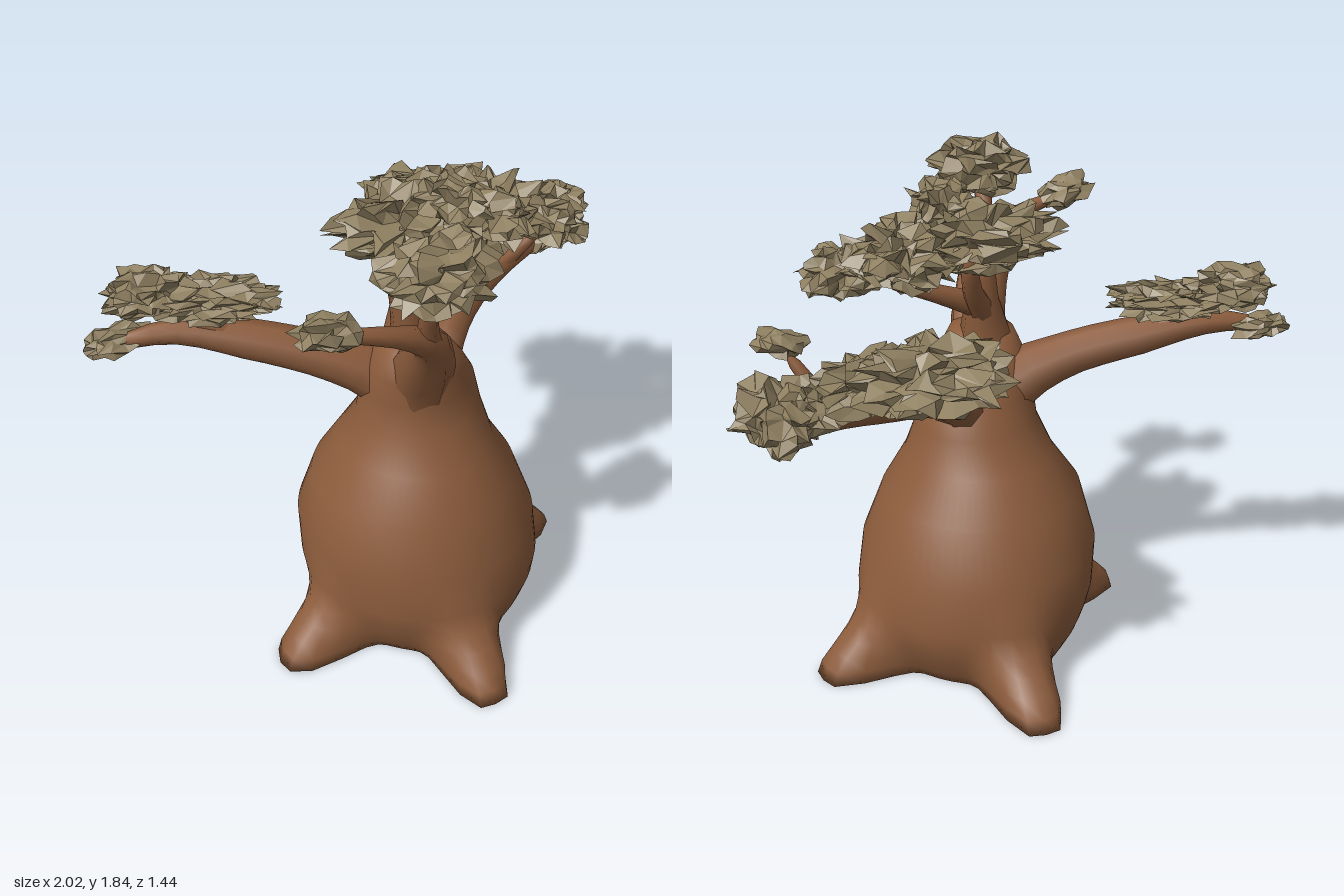
import * as THREE from 'three';
import { mergeVertices } from 'three/addons/utils/BufferGeometryUtils.js';

const bark = new THREE.MeshStandardMaterial({ color: 0x8c5c3c });
bark.name = 'brown bark';
const leaf = new THREE.MeshStandardMaterial({ color: 0x8f8061, flatShading: true, side: THREE.DoubleSide });
leaf.name = 'dry olive leaves';

// Small seeded random generator
function seeded(seed) {
  let s = seed * 7919 + 17;
  return () => {
    s = (s * 16807) % 2147483647;
    return s / 2147483647;
  };
}

function weld(geometry) {
  geometry.deleteAttribute('normal');
  geometry.deleteAttribute('uv');
  const g = mergeVertices(geometry, 1e-4);
  g.computeVertexNormals();
  return g;
}

// Swollen trunk whose foot flares into four buttress roots.
// Rings: [y, centre x, centre z, radius x, radius z, root strength]
function makeTrunk() {
  const rings = [
    [0, 0, 0.05, 0, 0, 0], [0, 0, 0.05, 0.35, 0.37, 1], [0.05, 0, 0.05, 0.38, 0.395, 0.93],
    [0.1, 0, 0.05, 0.405, 0.42, 0.75], [0.15, 0, 0.05, 0.425, 0.435, 0.5], [0.2, 0, 0.05, 0.44, 0.45, 0.26],
    [0.27, -0.005, 0.05, 0.452, 0.46, 0.04], [0.45, -0.02, 0.047, 0.44, 0.455, 0],
    [0.65, -0.035, 0.055, 0.376, 0.375, 0], [0.8, -0.03, 0.06, 0.275, 0.29, 0],
    [0.93, -0.02, 0.065, 0.23, 0.21, 0], [1.05, -0.025, 0.065, 0.205, 0.19, 0],
    [1.15, -0.06, 0.1, 0.17, 0.165, 0], [1.25, -0.08, 0.12, 0.11, 0.13, 0], [1.31, -0.09, 0.13, 0, 0, 0],
  ];
  // Root tips on the ground: [x, z]
  const roots = [[-0.67, 0.07], [0.66, 0.06], [-0.18, 0.7], [0.115, -0.64]];
  const g = new THREE.LatheGeometry(rings.map((r) => new THREE.Vector2(1, r[0])), 72);
  const p = g.attributes.position;
  for (let i = 0; i < p.count; i++) {
    const [y, cx, cz, rx, rz, strength] = rings[i % rings.length];
    const sx = p.getX(i), sz = p.getZ(i);
    let x = sx * rx, z = sz * rz;
    const body = Math.hypot(x, z);
    for (const [tx, tz] of roots) {
      const reach = Math.hypot(tx, tz - 0.05);
      const angle = Math.acos(THREE.MathUtils.clamp((sx * tx + sz * (tz - 0.05)) / reach, -1, 1));
      const lobe = Math.exp(-Math.pow(Math.max(0, angle - 0.06) / 0.19, 2));
      const grow = strength * lobe * (reach - body);
      x += sx * grow;
      z += sz * grow;
    }
    p.setXYZ(i, cx + x, y, cz + z);
  }
  return weld(g);
}

// Tapered limb through [x, y, z, radius] points, closed at its tip
function makeLimb(points, sides = 8) {
  const curve = new THREE.CatmullRomCurve3(points.map((p) => new THREE.Vector3(p[0], p[1], p[2])));
  const segments = (points.length - 1) * 3;
  const g = new THREE.TubeGeometry(curve, segments, 1, sides, false);
  const pos = g.attributes.position, nor = g.attributes.normal;
  for (let i = 0; i < pos.count; i++) {
    const ring = Math.floor(i / (sides + 1));
    const u = ring / segments;
    const t = curve.getUtoTmapping(u) * (points.length - 1);
    const k = Math.min(Math.floor(t), points.length - 2);
    const r = ring === segments ? 0 : THREE.MathUtils.lerp(points[k][3], points[k + 1][3], t - k);
    const c = curve.getPointAt(u);
    pos.setXYZ(i, c.x + nor.getX(i) * r, c.y + nor.getY(i) * r, c.z + nor.getZ(i) * r);
  }
  return weld(g);
}

// Crumpled leaf clump with deep, jagged folds
function makeClump([x, y, z, rx, ry, rz, yaw = 0, tilt = 0], seed) {
  const size = Math.max(rx, rz);
  const g = weld(new THREE.IcosahedronGeometry(1, size > 0.19 ? 5 : size > 0.12 ? 4 : 2));
  const rand = seeded(seed);
  const p = g.attributes.position;
  const v = new THREE.Vector3();
  for (let i = 0; i < p.count; i++) {
    v.fromBufferAttribute(p, i);
    const lump = 0.07 * Math.sin(v.x * 5 + seed) + 0.07 * Math.cos(v.z * 6 + seed * 2);
    v.multiplyScalar(0.58 + 0.48 * rand() + lump);
    v.x += (rand() - 0.5) * 0.26;
    v.y += (rand() - 0.5) * 0.34;
    v.z += (rand() - 0.5) * 0.26;
    p.setXYZ(i, v.x * rx, v.y * ry, v.z * rz);
  }
  g.rotateZ(tilt).rotateY(yaw).translate(x, y, z);
  g.computeVertexNormals();
  return g;
}

export function createModel() {
  const model = new THREE.Group();
  model.name = 'bottleTree';
  const add = (name, geometry, material) => {
    const mesh = new THREE.Mesh(geometry, material);
    mesh.name = name;
    model.add(mesh);
  };

  add('trunk', makeTrunk(), bark);

  // Main branches, rising out of the trunk, and their twigs
  const limbs = {
    leftBranch: [[0.02, 0.88, 0.04, 0.1], [0.1, 1.04, 0, 0.1], [0.25, 1.125, -0.07, 0.075], [0.45, 1.17, -0.14, 0.06], [0.66, 1.2, -0.18, 0.05], [0.9, 1.19, -0.22, 0.03]],
    leftBackTwig: [[0.08, 1.02, -0.02, 0.09], [0.18, 1.13, -0.12, 0.065], [0.32, 1.22, -0.25, 0.045], [0.46, 1.34, -0.42, 0.03]],
    leftInnerTwig: [[0.2, 1.12, -0.08, 0.05], [0.23, 1.22, -0.2, 0.035], [0.28, 1.34, -0.34, 0.025]],
    leftUpperTwig: [[0.48, 1.18, -0.15, 0.045], [0.66, 1.25, -0.14, 0.03], [0.77, 1.42, -0.07, 0.015]],
    rightBranch: [[-0.04, 0.88, 0.04, 0.11], [-0.13, 1.06, 0, 0.11], [-0.3, 1.165, -0.09, 0.08], [-0.52, 1.25, -0.24, 0.07], [-0.72, 1.3, -0.36, 0.045], [-0.93, 1.28, -0.45, 0.02]],
    rightUpperTwig: [[-0.5, 1.24, -0.23, 0.05], [-0.63, 1.33, -0.31, 0.04], [-0.72, 1.41, -0.37, 0.025]],
    frontBranch: [[-0.05, 0.85, 0.1, 0.11], [-0.08, 1.07, 0.13, 0.12], [-0.13, 1.25, 0.24, 0.1], [-0.23, 1.43, 0.38, 0.055], [-0.37, 1.53, 0.41, 0.035], [-0.6, 1.61, 0.37, 0.018]],
    frontUpperTwig: [[-0.23, 1.42, 0.38, 0.045], [-0.28, 1.55, 0.43, 0.03], [-0.3, 1.72, 0.5, 0.035]],
    middleBranch: [[-0.05, 0.95, 0.06, 0.12], [-0.07, 1.22, 0.08, 0.1], [-0.03, 1.4, 0.04, 0.06], [-0.02, 1.63, 0.03, 0.04]],
    middleLeftTwig: [[-0.04, 1.36, 0.05, 0.05], [0.14, 1.44, 0.04, 0.033], [0.36, 1.53, 0.08, 0.025]],
    middleBackTwig: [[-0.04, 1.34, 0.04, 0.05], [0.05, 1.46, -0.03, 0.035], [0.1, 1.62, -0.09, 0.025]],
    middleRightTwig: [[-0.08, 1.22, 0.1, 0.07], [-0.12, 1.42, 0.11, 0.05], [-0.16, 1.62, 0.08, 0.035]],
  };
  for (const [name, points] of Object.entries(limbs)) add(name, makeLimb(points), bark);

  // Leaf clumps: [x, y, z, radius x, radius y, radius z, yaw, tilt]
  const clumps = {
    leftBackLeaves: [0.43, 1.385, -0.44, 0.26, 0.11, 0.24],
    leftLinkLeaves: [0.57, 1.335, -0.28, 0.18, 0.1, 0.14],
    leftOuterLinkLeaves: [0.72, 1.29, -0.23, 0.13, 0.09, 0.11],
    leftEndLeaves: [0.85, 1.26, -0.21, 0.15, 0.12, 0.19],
    leftTopLeaves: [0.77, 1.43, -0.05, 0.1, 0.05, 0.1, 0, 0.3],
    rightLeaves: [-0.58, 1.395, -0.31, 0.24, 0.065, 0.135, -0.55],
    rightOuterLeaves: [-0.77, 1.44, -0.42, 0.17, 0.075, 0.12, -0.45],
    rightTipLeaves: [-0.89, 1.285, -0.46, 0.12, 0.045, 0.08],
    frontLeaves: [-0.275, 1.735, 0.465, 0.185, 0.11, 0.165],
    frontOuterLeaves: [-0.6, 1.62, 0.37, 0.12, 0.06, 0.09, 0, -0.25],
    middleLeaves: [-0.01, 1.63, 0.0, 0.28, 0.12, 0.23],
    middleTopLeaves: [0.08, 1.71, 0.11, 0.13, 0.105, 0.15],
    middleSideLeaves: [0.28, 1.6, 0.06, 0.21, 0.12, 0.2],
    middleEndLeaves: [0.46, 1.56, 0.12, 0.15, 0.095, 0.15],
  };
  Object.entries(clumps).forEach(([name, c], i) => add(name, makeClump(c, i + 3), leaf));

  return model;
}
